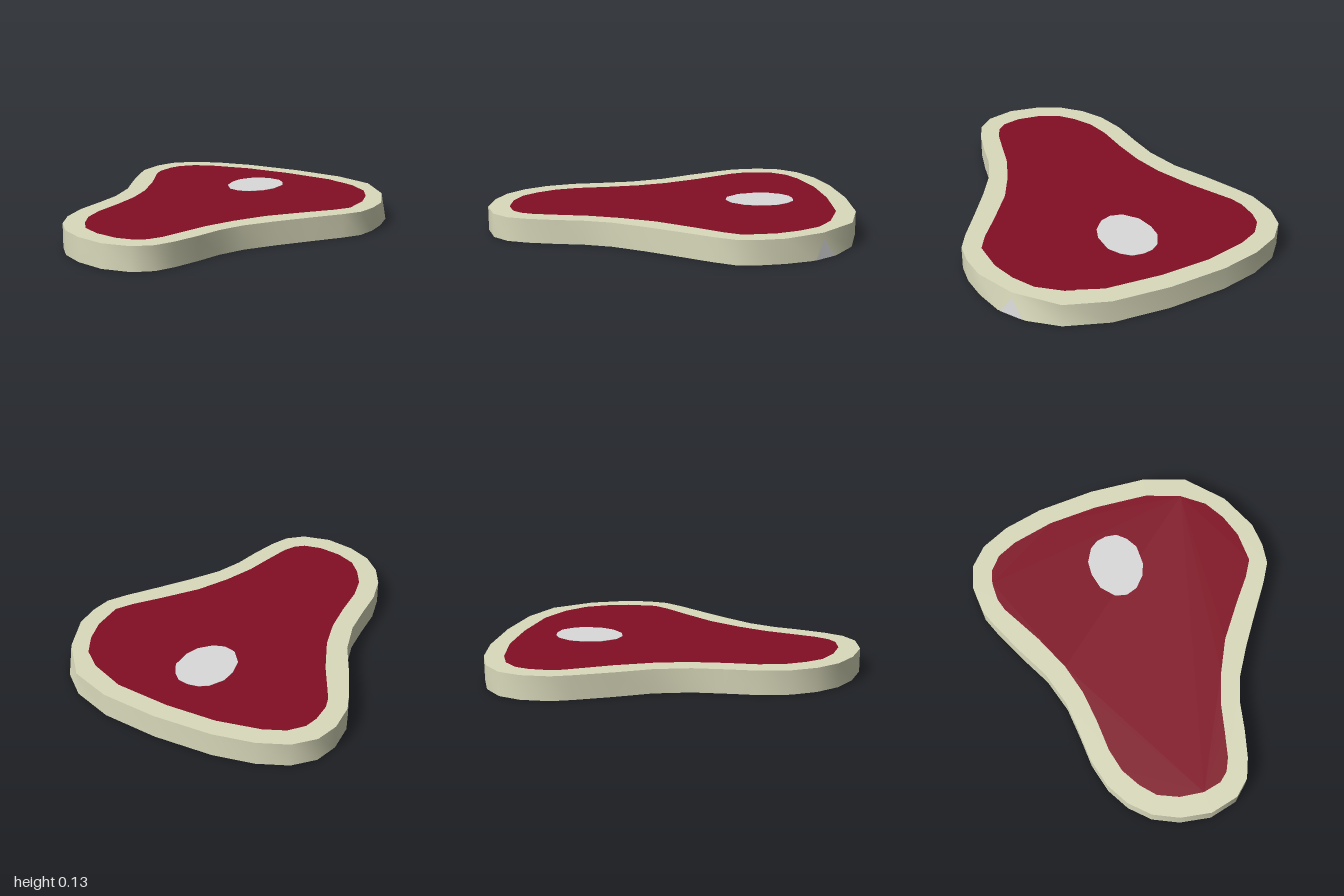
import * as THREE from 'three';
import { toCreasedNormals } from 'three/addons/utils/BufferGeometryUtils.js';

const HEIGHT = 0.13;

// Outlines seen from above, as x, z pairs
const FAT = [
  0, -1, 0.31, -0.975, 0.54, -0.895, 0.68, -0.78, 0.77, -0.64, 0.805, -0.49, 0.815, -0.355, 0.8, -0.24,
  0.74, -0.14, 0.625, 0.02, 0.51, 0.185, 0.41, 0.345, 0.355, 0.49, 0.325, 0.635, 0.285, 0.785,
  0.24, 0.89, 0.155, 0.965, 0, 1, -0.165, 0.97, -0.3, 0.905, -0.4, 0.805, -0.47, 0.68,
  -0.51, 0.52, -0.52, 0.345, -0.535, 0.175, -0.59, -0.015, -0.685, -0.2, -0.77, -0.385,
  -0.81, -0.49, -0.82, -0.645, -0.785, -0.77, -0.69, -0.87, -0.535, -0.94, -0.32, -0.985,
];
const MEAT = [
  -0.01, -0.895, 0.295, -0.87, 0.48, -0.8, 0.6, -0.705, 0.665, -0.59, 0.705, -0.46, 0.71, -0.29,
  0.655, -0.2, 0.55, -0.07, 0.41, 0.115, 0.32, 0.29, 0.255, 0.46, 0.22, 0.61, 0.185, 0.75,
  0.15, 0.82, 0.1, 0.862, 0, 0.883, -0.13, 0.865, -0.24, 0.815, -0.31, 0.735, -0.37, 0.63,
  -0.4, 0.5, -0.41, 0.32, -0.43, 0.145, -0.475, -0.025, -0.565, -0.23, -0.69, -0.46,
  -0.71, -0.53, -0.71, -0.635, -0.69, -0.71, -0.625, -0.785, -0.515, -0.835, -0.285, -0.885,
];
const BONE = [
  -0.015, -0.698, 0.048, -0.688, 0.095, -0.645, 0.132, -0.58, 0.132, -0.47, 0.106, -0.4, 0.048, -0.338,
  -0.015, -0.317, -0.08, -0.333, -0.143, -0.407, -0.164, -0.5, -0.159, -0.58, -0.116, -0.656, -0.069, -0.688,
];

function toPoints(flat) {
  const points = [];
  for (let i = 0; i < flat.length; i += 2) points.push(new THREE.Vector2(flat[i], -flat[i + 1]));
  return points;
}

// Upright slab from an outline, with an optional hole
function slab(outline, depth, hole) {
  const shape = new THREE.Shape(toPoints(outline));
  if (hole) shape.holes.push(new THREE.Path(toPoints(hole)));
  return new THREE.ExtrudeGeometry(shape, { depth, bevelEnabled: false }).rotateX(-Math.PI / 2);
}

export function createModel() {
  const fat = new THREE.MeshStandardMaterial({ color: 0xdadabc });
  fat.name = 'fat cream';
  const meat = new THREE.MeshStandardMaterial({ color: 0x820d23 });
  meat.name = 'meat red';
  const bone = new THREE.MeshStandardMaterial({ color: 0xdadada });
  bone.name = 'bone grey';

  const group = new THREE.Group();
  group.name = 'steak';
  const add = (name, geometry, material) => {
    const mesh = new THREE.Mesh(geometry, material);
    mesh.name = name;
    group.add(mesh);
    return mesh;
  };

  // Fat rim: two neighbouring corners meet in one point at the top
  const cornerA = new THREE.Vector3(0.68, 0, -0.78);
  const cornerB = new THREE.Vector3(0.77, 0, -0.64);
  const apex = new THREE.Vector3(0.715, HEIGHT, -0.7);
  const rim = slab(FAT, HEIGHT, MEAT);
  const pos = rim.attributes.position;
  for (let i = 0; i < pos.count; i++) {
    if (pos.getY(i) < HEIGHT / 2) continue;
    for (const c of [cornerA, cornerB]) {
      if (Math.hypot(pos.getX(i) - c.x, pos.getZ(i) - c.z) < 0.001) pos.setXYZ(i, apex.x, apex.y, apex.z);
    }
  }
  add('fatRim', toCreasedNormals(rim, 0.7), fat);

  // Meat fills the rim, flush on both faces
  add('meat', slab(MEAT, HEIGHT), meat);

  // Bone lies on the top face
  add('bone', slab(BONE, 0.004), bone).position.y = HEIGHT - 0.002;

  // Small pale chip on the side of the rim
  const middle = cornerA.clone().lerp(cornerB, 0.5);
  const chip = new THREE.BufferGeometry().setFromPoints([
    middle.clone().lerp(cornerB, 0.8),
    middle.clone().lerp(cornerA, 0.8),
    middle.clone().lerp(apex, 0.75),
  ]);
  chip.computeVertexNormals();
  chip.translate(0.002, 0, -0.0013);
  add('sideChip', chip, bone);

  return group;
}
